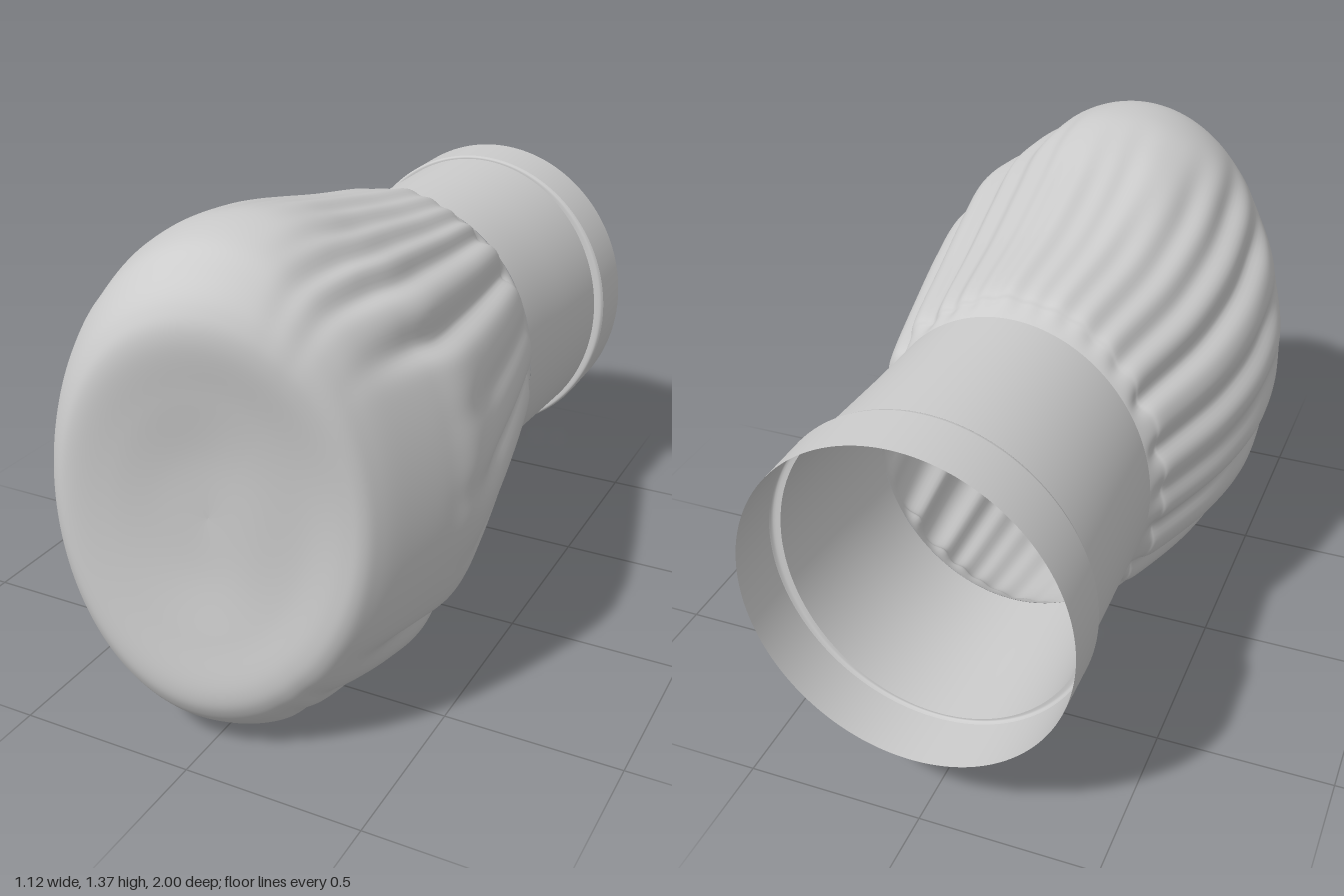
import * as THREE from 'three';

const CY = 0.69; // height of the long axis
const SEG = 288;
const smooth = THREE.MathUtils.smoothstep;

// Creases: [angle in degrees from the +x side, relative depth, z where it fades out]
const creases = [
  [0, 0.055, 0.6], [18, 0.03, 0.6], [37, 0.075, 0.85], [53, 0.06, 0.95], [63, 0.05, 0.95],
  [72, 0.04, 0.8], [81, 0.03, 0.65], [92, 0.03, 0.6], [100, 0.03, 0.65], [110, 0.025, 0.4],
  [121, 0.03, 0.7], [133, 0.04, 0.9], [147, 0.065, 0.9], [165, 0.06, 0.8], [180, 0.04, 0.7],
];

function creaseScale(t, z) {
  const deg = Math.abs(THREE.MathUtils.radToDeg(Math.atan2(Math.sin(t), Math.cos(t))));
  let s = 1;
  for (const [a, depth, end] of creases) {
    const along = smooth(z, -0.34, -0.27) * (1 - smooth(z, end - 0.45, end));
    s -= depth * along * Math.exp(-(((deg - a) / 4.2) ** 2));
  }
  return s;
}

// Skin through oval rings: [z at -x, z in the middle, z at +x, x min, x max, half height]
function loft(keys, steps, scale = () => 1) {
  const curve = (o) => new THREE.CatmullRomCurve3(
    keys.map((k) => new THREE.Vector3(k[o], k[o + 1], k[o + 2])), false, 'catmullrom', 0.5);
  const depths = curve(0), spans = curve(3);
  const pos = [], index = [];
  for (let i = 0; i <= steps; i++) {
    const d = depths.getPoint(i / steps), e = spans.getPoint(i / steps);
    const cx = (e.x + e.y) / 2, rx = (e.y - e.x) / 2;
    for (let j = 0; j < SEG; j++) {
      const t = (j / SEG) * Math.PI * 2, c = Math.cos(t);
      const z = d.y + ((d.z - d.x) / 2) * c + ((d.x + d.z) / 2 - d.y) * c * c;
      const s = scale(t, z);
      pos.push(cx + rx * c * s, CY + e.z * Math.sin(t) * s, z);
      if (i < steps) {
        const a = i * SEG + j, b = i * SEG + ((j + 1) % SEG);
        index.push(a, b, a + SEG, b, b + SEG, a + SEG);
      }
    }
  }
  const g = new THREE.BufferGeometry();
  g.setAttribute('position', new THREE.Float32BufferAttribute(pos, 3));
  g.setIndex(index);
  g.computeVertexNormals();
  return g;
}

export function createModel() {
  const group = new THREE.Group();
  const material = new THREE.MeshStandardMaterial({ color: 0xcccccc, side: THREE.DoubleSide });
  const add = (name, geometry) => {
    const mesh = new THREE.Mesh(geometry, material);
    mesh.name = name;
    group.add(mesh);
  };
  const flat = (z, ...span) => [z, z, z, ...span];

  // Gathered bag with a slanted, slightly dished front
  add('pleatedBag', loft([
    flat(-0.33, -0.4, 0.4, 0.465),
    flat(-0.29, -0.425, 0.415, 0.5),
    flat(-0.24, -0.452, 0.435, 0.532),
    flat(0, -0.53, 0.492, 0.577),
    flat(0.25, -0.565, 0.542, 0.632),
    [0.5, 0.46, 0.44, -0.553, 0.565, 0.672],
    [0.68, 0.62, 0.56, -0.512, 0.53, 0.687],
    [0.84, 0.78, 0.7, -0.445, 0.475, 0.668],
    [0.93, 0.87, 0.77, -0.395, 0.44, 0.615],
    [0.985, 0.925, 0.805, -0.345, 0.41, 0.555],
    [1.0, 0.945, 0.82, -0.295, 0.365, 0.48],
    [0.975, 0.925, 0.835, -0.2, 0.27, 0.34],
    [0.93, 0.9, 0.87, -0.08, 0.15, 0.17],
    flat(0.892, 0.034, 0.036, 0.001),
  ], 117, creaseScale));

  // Plain sleeve behind the bag
  add('sleeve', loft([
    flat(-0.83, -0.41, 0.43, 0.467),
    flat(-0.66, -0.407, 0.418, 0.466),
    flat(-0.5, -0.403, 0.407, 0.465),
    flat(-0.33, -0.4, 0.4, 0.465),
  ], 12));

  // Wider open rim and the small step that joins it to the sleeve
  add('rim', loft([flat(-1, -0.433, 0.458, 0.476), flat(-0.84, -0.433, 0.458, 0.476)], 2));
  add('rimStep', loft([
    flat(-0.84, -0.433, 0.458, 0.476),
    flat(-0.831, -0.427, 0.45, 0.473),
    flat(-0.83, -0.41, 0.43, 0.467),
  ], 6));
  return group;
}
